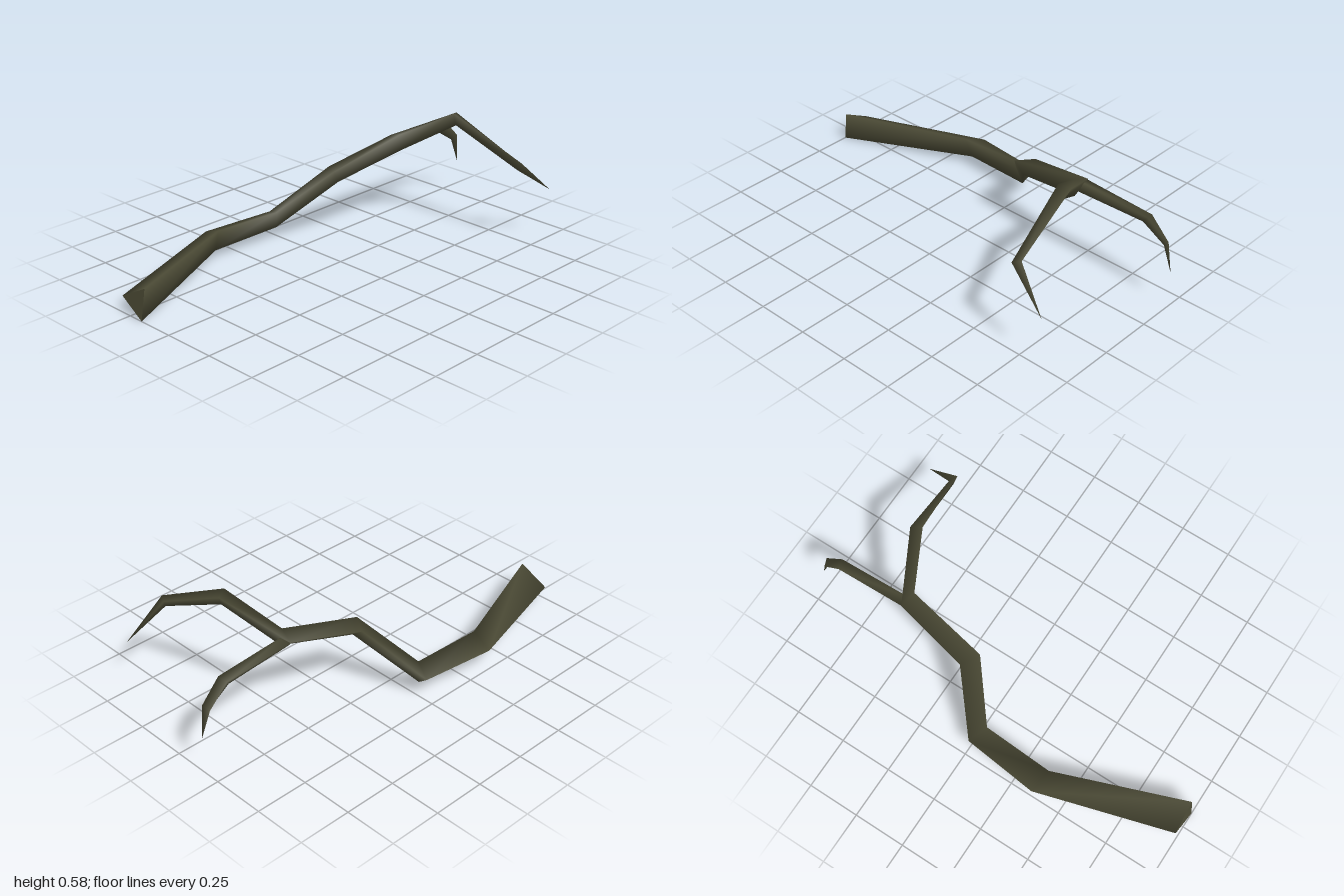
import * as THREE from 'three';

// Smooth three-sided limb; each ring is [left, upper right, lower right], a lone point is a tip.
function limb(name, rings, material) {
  const full = rings.map(r => (r.length === 1 ? [r[0], r[0], r[0]] : r));
  const geometry = new THREE.BufferGeometry();
  const index = [];
  for (let i = 0; i < full.length - 1; i++) {
    const tip = rings[i + 1].length === 1;
    for (let j = 0; j < 3; j++) {
      const k = (j + 1) % 3;
      const a = i * 3 + j, b = i * 3 + k;
      const c = tip ? i * 3 + 3 : a + 3;
      index.push(a, b, c);
      if (!tip) index.push(b, b + 3, c);
    }
  }
  geometry.setAttribute('position', new THREE.Float32BufferAttribute(full.flat(2), 3));
  geometry.setIndex(index);
  geometry.computeVertexNormals();
  const mesh = new THREE.Mesh(geometry, material);
  mesh.name = name;
  return mesh;
}

// Flat triangle closing the cut end of a limb
function cutEnd(name, [a, b, c], material) {
  const geometry = new THREE.BufferGeometry();
  geometry.setAttribute('position', new THREE.Float32BufferAttribute([a, c, b].flat(), 3));
  geometry.computeVertexNormals();
  const mesh = new THREE.Mesh(geometry, material);
  mesh.name = name;
  return mesh;
}

export function createModel() {
  const bark = new THREE.MeshStandardMaterial({ color: 0x4b4a35 });
  bark.name = 'bark';

  // Main branch from the cut end, bending over into the left twig
  const main = [
    [[-0.31, 0.07, 0.99], [-0.17, 0.145, 0.98], [-0.175, 0, 1]],
    [[-0.505, 0.107, 0.36], [-0.395, 0.15, 0.38], [-0.43, 0.04, 0.37]],
    [[-0.465, 0.11, 0], [-0.375, 0.143, 0.04], [-0.4, 0.055, 0.02]],
    [[-0.25, 0.345, -0.18], [-0.165, 0.355, -0.13], [-0.18, 0.29, -0.17]],
    [[-0.185, 0.425, -0.53], [-0.11, 0.45, -0.51], [-0.11, 0.37, -0.52]],
    [[0.1, 0.572, -0.665], [0.125, 0.585, -0.615], [0.12, 0.52, -0.64]],
    [[0.44, 0.41, -0.7], [0.478, 0.415, -0.68], [0.45, 0.375, -0.685]],
    [[0.505, 0.245, -0.865]],
  ];

  // Thin twig forking off to the back and drooping
  const fork = [
    [[-0.183, 0.422, -0.52], [-0.135, 0.435, -0.5], [-0.14, 0.375, -0.5]],
    [[-0.185, 0.4, -0.87], [-0.14, 0.41, -0.88], [-0.16, 0.365, -0.845]],
    [[-0.183, 0.305, -0.965], [-0.148, 0.32, -0.975], [-0.165, 0.295, -0.955]],
    [[-0.165, 0.175, -1]],
  ];

  const group = new THREE.Group();
  group.name = 'branch';
  group.add(
    limb('mainBranch', main, bark),
    cutEnd('cutEnd', main[0], bark),
    limb('backTwig', fork, bark),
    cutEnd('backTwigBase', fork[0], bark),
  );
  return group;
}
